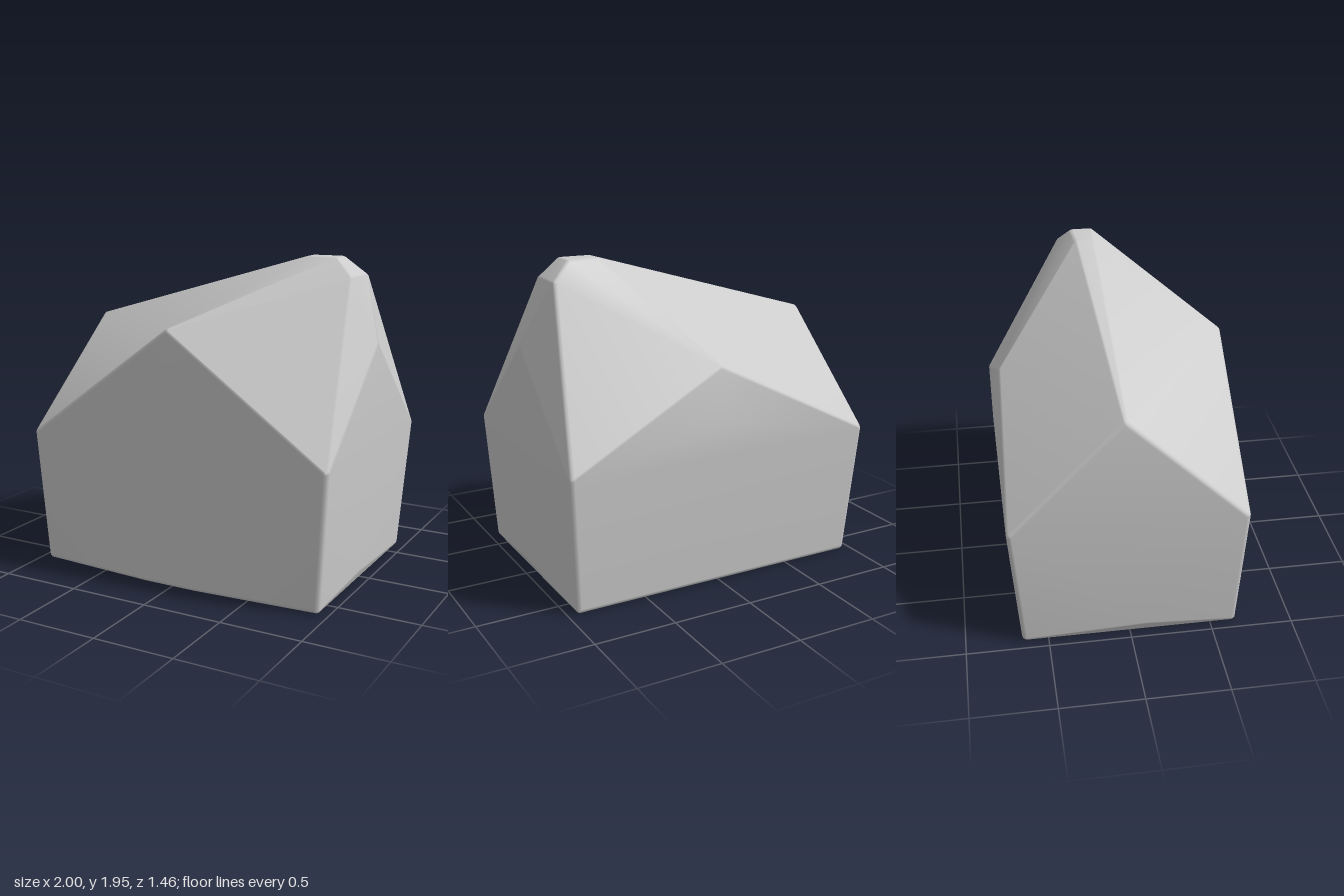
import * as THREE from 'three';
import { ConvexGeometry } from 'three/addons/geometries/ConvexGeometry.js';
import { mergeVertices } from 'three/addons/utils/BufferGeometryUtils.js';

const EDGE = 0.03; // rounding radius of the worn edges

// Corner centres of the boulder, each inset by the edge radius
const mirrored = [
  [0.97, 0.84, 0.66], [0.92, 0.03, 0.63],    // front shoulders and base
  [0.97, 0.84, -0.69], [0.92, 0.03, -0.63],  // back shoulders and base
  [0.94, 0.08, 0.1],                         // low bulge of each side
  [0.16, 0.04, 0.7],                         // low bulge of the front
];
const single = [
  [-0.02, 1.54, 0.66],                       // front peak
  [-0.92, 1.49, -0.04], [0.97, 1.45, -0.03], // side peaks
  [0, 1.03, -0.7], [0.02, 1.34, -0.65],      // back ridge and peak
  [0.54, 1.92, -0.03], [0.54, 1.92, -0.12],  // summit
  [0.72, 1.92, -0.02], [0.72, 1.92, -0.13],
  [0.82, 1.82, 0.02], [0.83, 1.82, -0.2],    // chipped summit edge
];

function roundedHull(corners, radius) {
  const ball = mergeVertices(new THREE.IcosahedronGeometry(radius, 1).deleteAttribute('uv').deleteAttribute('normal'));
  const pos = ball.attributes.position;
  const points = [];
  for (const c of corners) {
    for (let i = 0; i < pos.count; i++) {
      points.push(new THREE.Vector3().fromBufferAttribute(pos, i).add(new THREE.Vector3(...c)));
    }
  }
  // Area-weighted normals keep the large facets flat and the edges soft
  const hull = mergeVertices(new ConvexGeometry(points).deleteAttribute('normal'), 1e-5);
  hull.computeVertexNormals();
  return hull;
}

export function createModel() {
  const group = new THREE.Group();
  group.name = 'boulder';
  const corners = [...single, ...mirrored, ...mirrored.map(([x, y, z]) => [-x, y, z])];
  const rock = new THREE.Mesh(
    roundedHull(corners, EDGE),
    new THREE.MeshStandardMaterial({ color: 0xcccccc })
  );
  rock.name = 'rock';
  group.add(rock);
  return group;
}
